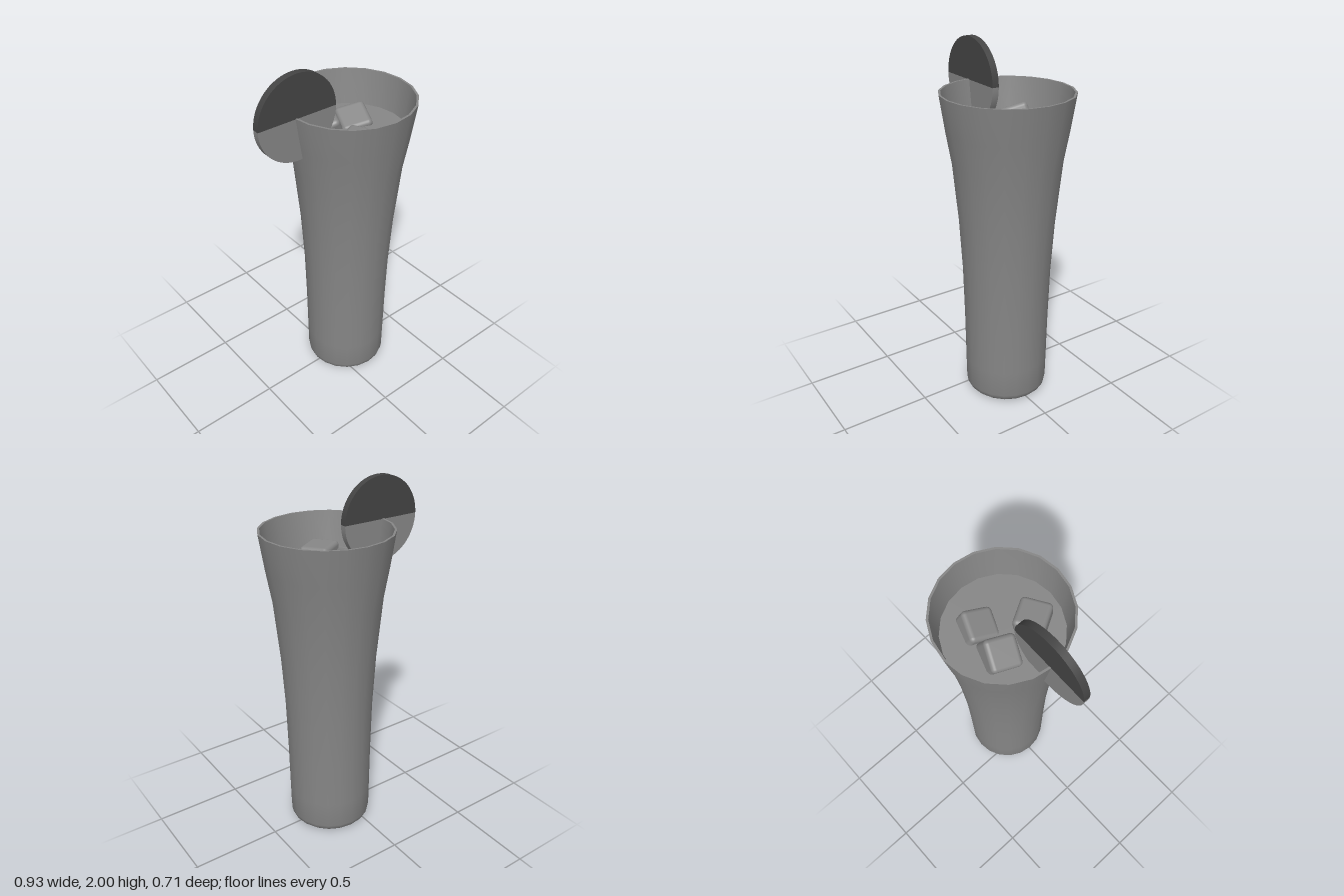
import * as THREE from 'three';
import { toCreasedNormals } from 'three/addons/utils/BufferGeometryUtils.js';
import { RoundedBoxGeometry } from 'three/addons/geometries/RoundedBoxGeometry.js';

const SIDES = 20;
const GLASS_X = 0.106;
const YAW = -0.016;
const LEVEL = 1.575;

export function createModel() {
  const model = new THREE.Group();
  const grey = new THREE.MeshStandardMaterial({ color: 0x868686 });
  const darkGrey = new THREE.MeshStandardMaterial({ color: 0x444444 });
  const add = (name, geometry, material, x, y, z, rx = 0, ry = 0, rz = 0) => {
    const mesh = new THREE.Mesh(geometry, material);
    mesh.name = name;
    mesh.position.set(x, y, z);
    mesh.rotation.set(rx, ry, rz);
    model.add(mesh);
  };

  // Flared tumbler: rounded foot, outer wall, rim, inner wall and inner floor
  const profile = [
    [0, 0], [0.19, 0], [0.213, 0.006], [0.229, 0.022], [0.235, 0.045], [0.237, 0.2], [0.24, 0.45],
    [0.247, 0.75], [0.264, 1.05], [0.297, 1.4], [0.327, LEVEL], [0.356, 1.77],
    [0.344, 1.77], [0.316, LEVEL], [0.286, 1.4], [0.253, 1.05], [0.236, 0.75], [0.229, 0.45],
    [0.222, 0.06], [0, 0.05],
  ].map(([r, y]) => new THREE.Vector2(r, y));
  add('glass', toCreasedNormals(new THREE.LatheGeometry(profile, SIDES), 0.9), grey, GLASS_X, 0, 0, 0, YAW);

  // Drink surface, meeting the inner wall
  const surface = new THREE.CircleGeometry(0.317, SIDES);
  surface.rotateX(-Math.PI / 2);
  add('drinkSurface', surface, grey, GLASS_X, LEVEL, 0, 0, YAW);

  // Citrus slice hung on the rim: dark upper half, lighter lower half
  const half = new THREE.Shape();
  half.absarc(0, 0, 0.233, 0, Math.PI, false);
  const halfSlice = new THREE.ExtrudeGeometry(half, { depth: 0.038, bevelEnabled: false, curveSegments: 16 });
  halfSlice.translate(0, 0, -0.019);
  const smoothHalf = toCreasedNormals(halfSlice, 0.6);
  add('citrusSliceUpper', smoothHalf, darkGrey, -0.23, 1.767, 0, 0, YAW, 0);
  add('citrusSliceLower', smoothHalf, grey, -0.23, 1.767, 0, 0, YAW, Math.PI);

  // Ice cubes floating half sunk at different tilts
  const cube = new RoundedBoxGeometry(0.168, 0.168, 0.168, 3, 0.024);
  [
    [0.025, 1.575, -0.1, 0.25, -0.33, 0.45],
    [0.215, 1.54, -0.085, 0.4, -0.3, 0.3],
    [0.05, 1.56, 0.15, 0.06, 0.52, -0.08],
  ].forEach((placement, i) => add(`iceCube${i + 1}`, cube, grey, ...placement));

  return model;
}
